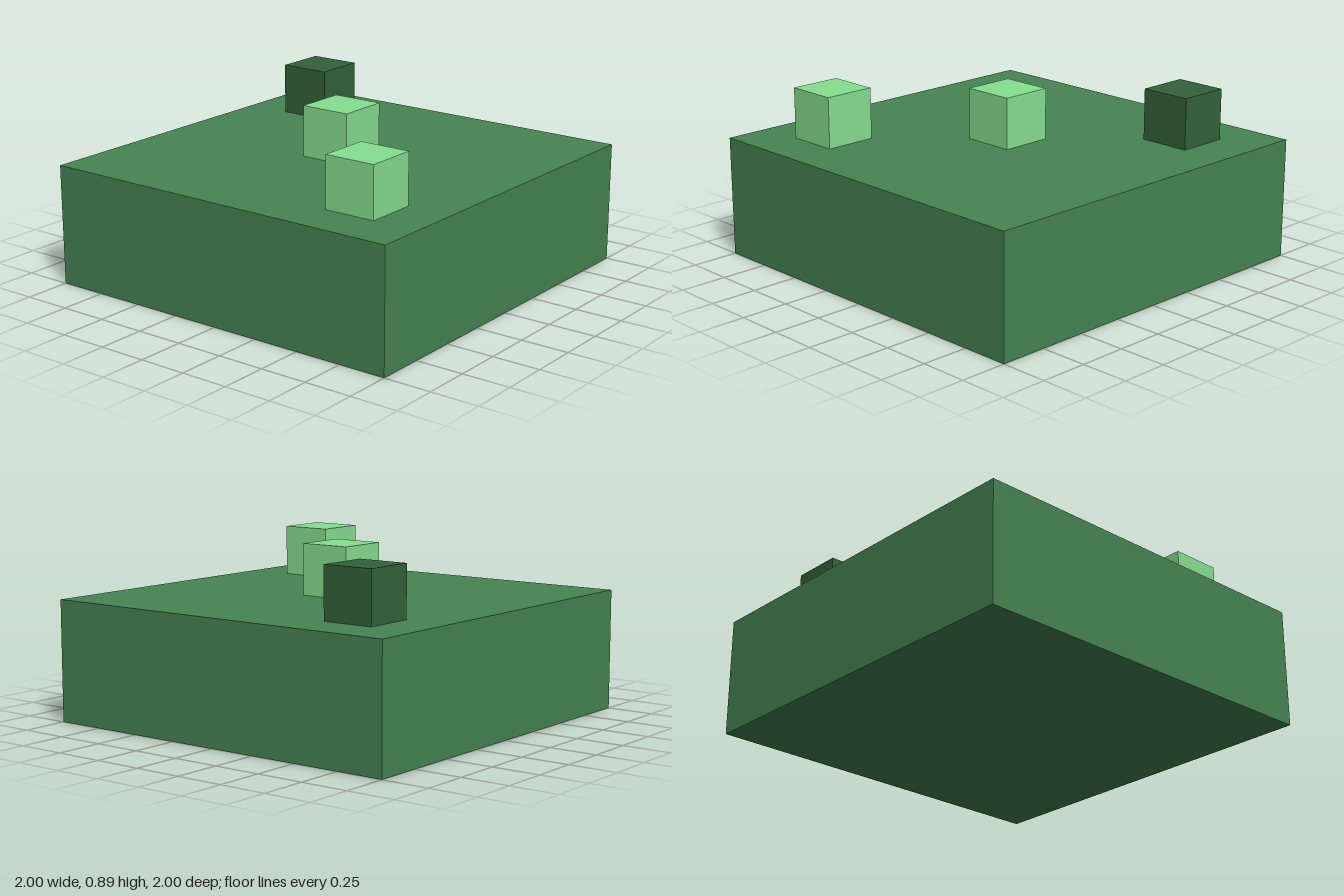
import * as THREE from 'three';

const BASE_HEIGHT = 0.625;
const CUBE_WIDTH = 0.273;
const CUBE_HEIGHT = 0.265;

// Box whose underside rests at the given height
function addBox(group, name, [w, h, d], [x, bottom, z], color) {
  const mesh = new THREE.Mesh(
    new THREE.BoxGeometry(w, h, d),
    new THREE.MeshStandardMaterial({ color, flatShading: true })
  );
  mesh.name = name;
  mesh.position.set(x, bottom + h / 2, z);
  group.add(mesh);
}

export function createModel() {
  const model = new THREE.Group();
  model.name = 'blockWithCubes';

  // Wide square slab
  addBox(model, 'base', [2, BASE_HEIGHT, 2], [0, 0, 0], 0x468452);

  // Three small cubes along the diagonal, front right to back left
  const cubes = [
    ['frontCube', -0.625, 0x88df90],
    ['middleCube', 0, 0x88df90],
    ['backCube', 0.625, 0x34623a],
  ];
  for (const [name, offset, color] of cubes) {
    addBox(model, name, [CUBE_WIDTH, CUBE_HEIGHT, CUBE_WIDTH], [offset, BASE_HEIGHT, -offset], color);
  }

  return model;
}
